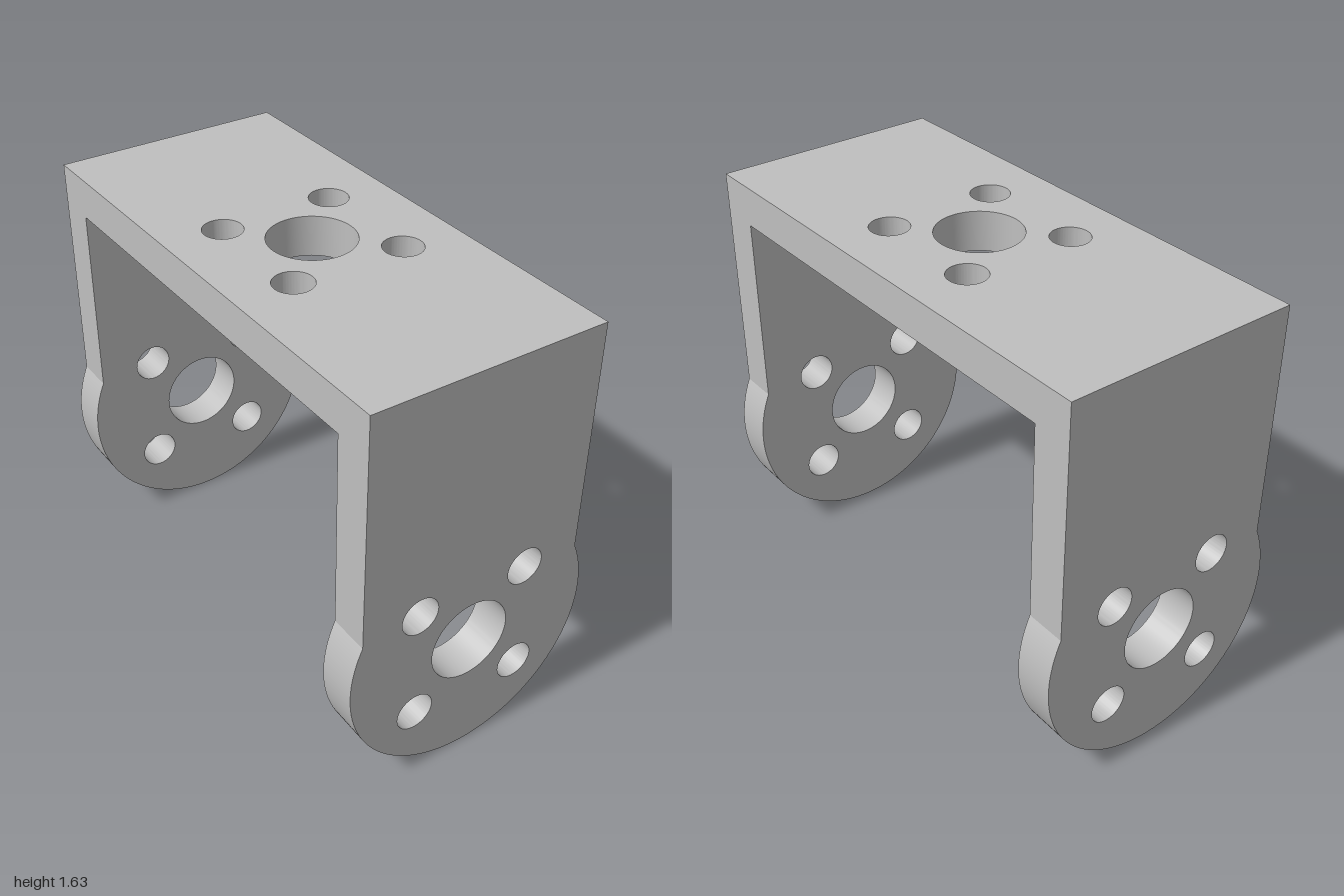
import * as THREE from 'three';
import { toCreasedNormals } from 'three/addons/utils/BufferGeometryUtils.js';

const HALF_WIDTH = 0.459, HEIGHT = 1.635, THICK = 0.157;
const DISC_R = 0.504, DISC_Y = 0.508;

// Central bore with four screw holes around it
function addHoles(shape, cy) {
  const hole = (x, y, r) => {
    const path = new THREE.Path();
    path.absarc(x, y, r, 0, Math.PI * 2, true);
    shape.holes.push(path);
  };
  hole(0, cy, 0.163);
  for (const sx of [-1, 1]) for (const sy of [-1, 1]) hole(sx * 0.225, cy + sy * 0.226, 0.075);
}

// Extruded plate, smooth around curves and sharp at edges
function plate(shape, depth) {
  const geo = new THREE.ExtrudeGeometry(shape, { depth, bevelEnabled: false, curveSegments: 48 });
  return toCreasedNormals(geo, 0.4);
}

export function createModel() {
  const group = new THREE.Group();
  group.name = 'uBracket';
  const metal = new THREE.MeshStandardMaterial({ color: 0xbfbfbf });
  metal.name = 'grey metal';

  // Legs: straight sides running into a wider round end
  const a = Math.acos(HALF_WIDTH / DISC_R);
  const leg = new THREE.Shape();
  leg.moveTo(HALF_WIDTH, HEIGHT);
  leg.lineTo(-HALF_WIDTH, HEIGHT);
  leg.absarc(0, DISC_Y, DISC_R, Math.PI - a, Math.PI * 2 + a, false);
  leg.closePath();
  addHoles(leg, DISC_Y);
  const legGeo = plate(leg, THICK);
  for (const [name, z] of [['frontLeg', 1 - THICK], ['backLeg', -1]]) {
    const mesh = new THREE.Mesh(legGeo, metal);
    mesh.name = name;
    mesh.position.z = z;
    group.add(mesh);
  }

  // Bridge joining the legs at the top
  const halfLength = 1 - THICK;
  const bridge = new THREE.Shape();
  bridge.moveTo(-HALF_WIDTH, -halfLength);
  bridge.lineTo(HALF_WIDTH, -halfLength);
  bridge.lineTo(HALF_WIDTH, halfLength);
  bridge.lineTo(-HALF_WIDTH, halfLength);
  bridge.closePath();
  addHoles(bridge, -0.02);
  const top = new THREE.Mesh(plate(bridge, THICK), metal);
  top.name = 'topBridge';
  top.rotation.x = -Math.PI / 2;
  top.position.y = HEIGHT - THICK;
  group.add(top);

  return group;
}
